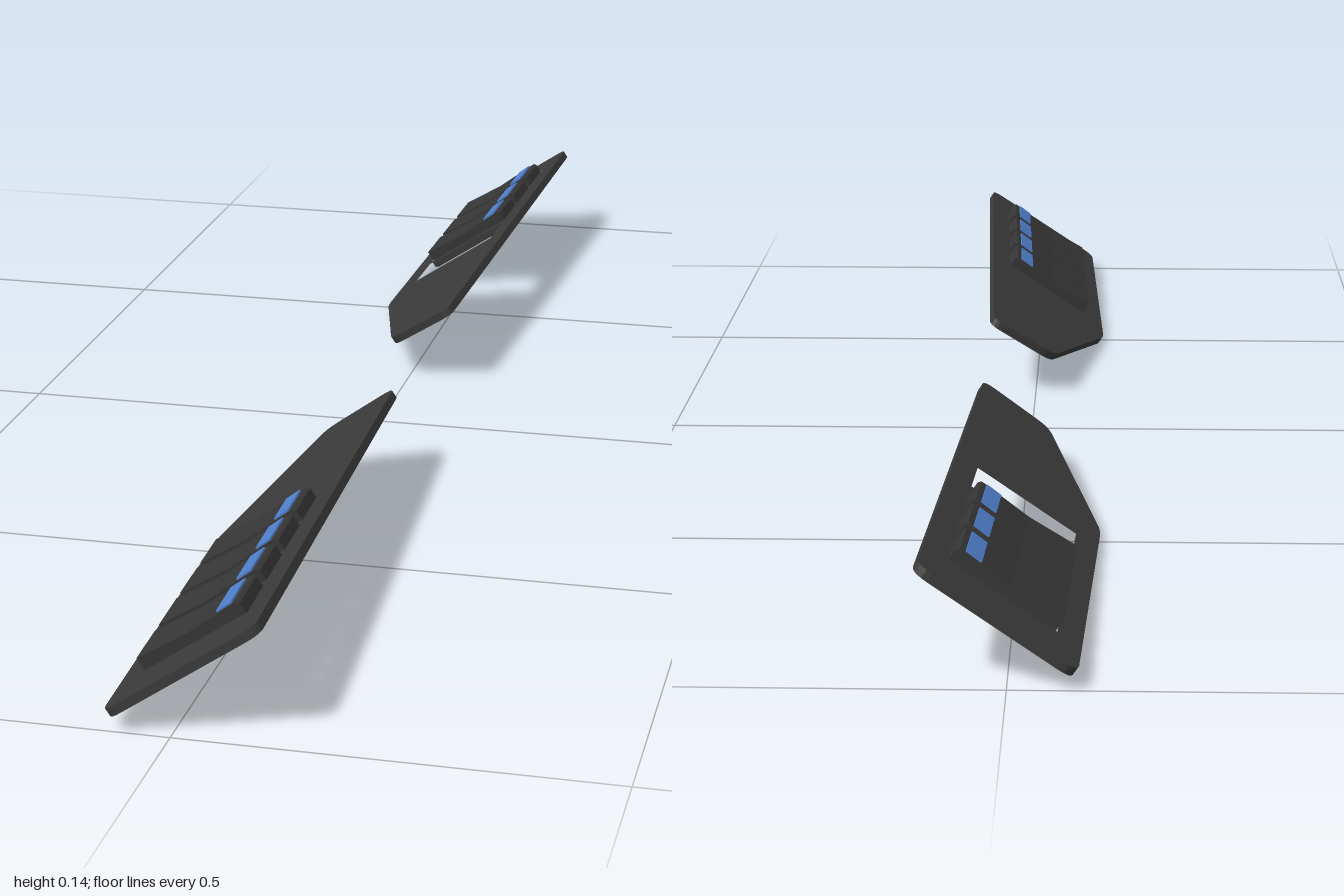
import * as THREE from 'three';

const plateMat = new THREE.MeshStandardMaterial({ name: 'charcoal plate', color: 0x3a3a3a });
const switchMat = new THREE.MeshStandardMaterial({ name: 'dark switch', color: 0x363636 });
const lampMat = new THREE.MeshStandardMaterial({ name: 'blue lamp', color: 0x4f80cc });

const TILT = THREE.MathUtils.degToRad(34);
const YAW = 0.05;
const THICK = 0.011;
const SLOTS = [-0.006, 0.09, 0.186, 0.282]; // switch centres, from the inner end outward

// polygon with every corner rounded by r
function roundedShape(points, r) {
  const p = points.map(([x, y]) => new THREE.Vector2(x, y));
  const shape = new THREE.Shape();
  p.forEach((c, i) => {
    const prev = p[(i + p.length - 1) % p.length], next = p[(i + 1) % p.length];
    const a = prev.clone().sub(c).setLength(r).add(c);
    const b = next.clone().sub(c).setLength(r).add(c);
    if (i === 0) shape.moveTo(a.x, a.y); else shape.lineTo(a.x, a.y);
    shape.quadraticCurveTo(c.x, c.y, b.x, b.y);
  });
  shape.closePath();
  return shape;
}

// tapered plate with four switch cut-outs; s = +1 front, -1 back
function makePlate(s) {
  const outline = [[-0.108, 0.398], [0.097, 0.398], [0.097, -0.424], [-0.008, -0.41], [-0.108, -0.122]];
  const shape = roundedShape(outline.map(([u, w]) => [u, -s * w]), 0.019);
  for (const w of SLOTS) {
    const c = -s * w, h = 0.0415;
    shape.holes.push(new THREE.Path([
      new THREE.Vector2(-0.076, c - h), new THREE.Vector2(-0.076, c + h),
      new THREE.Vector2(0.067, c + h), new THREE.Vector2(0.067, c - h),
    ]));
  }
  const geo = new THREE.ExtrudeGeometry(shape, { depth: THICK, bevelEnabled: false, curveSegments: 5 });
  geo.translate(0, 0, -THICK / 2).rotateX(-Math.PI / 2);
  const plate = new THREE.Mesh(geo, plateMat);
  plate.name = 'plate';
  return plate;
}

// rocker switch with a shallow dished top and a lamp strip
function makeSwitch() {
  const group = new THREE.Group();
  group.name = 'rockerSwitch';
  const profile = [[-0.074, -0.0075], [0.065, -0.0075], [0.065, 0.018], [0.062, 0.0215],
    [0.056, 0.0215], [-0.008, 0.018], [-0.074, 0.0215]];
  const shape = new THREE.Shape(profile.map(([u, n]) => new THREE.Vector2(u, n)));
  const geo = new THREE.ExtrudeGeometry(shape, { depth: 0.079, bevelEnabled: false });
  geo.translate(0, 0, -0.0395);
  const rocker = new THREE.Mesh(geo, switchMat);
  rocker.name = 'rocker';
  const lamp = new THREE.Mesh(new THREE.BoxGeometry(0.021, 0.003, 0.07), lampMat);
  lamp.name = 'lampStrip';
  lamp.position.set(0.0445, 0.0216, 0);
  lamp.rotation.z = 0.055;
  group.add(rocker, lamp);
  return group;
}

function makePanel(s) {
  const panel = new THREE.Group();
  panel.name = s > 0 ? 'frontPanel' : 'backPanel';
  panel.add(makePlate(s));
  SLOTS.forEach((w, i) => {
    if (s < 0 && i === 0) return; // empty slot on the back panel
    const sw = makeSwitch();
    sw.position.z = s * w;
    panel.add(sw);
  });
  panel.rotation.set(0, s * YAW, TILT, 'ZYX');
  panel.position.set(0, 0.068, s * 0.6);
  return panel;
}

export function createModel() {
  const model = new THREE.Group();
  model.name = 'switchPanels';
  model.add(makePanel(1), makePanel(-1));
  return model;
}
